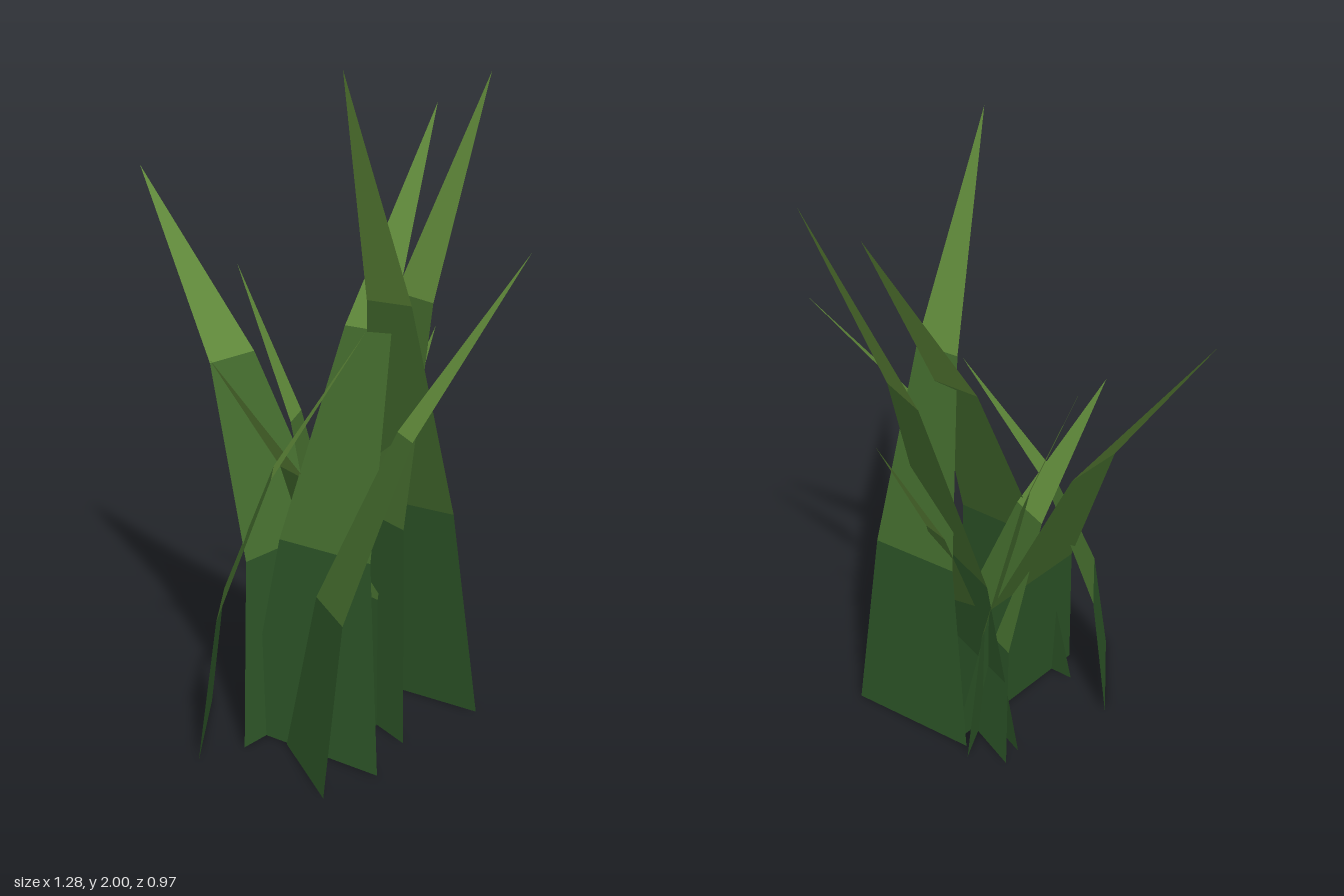
import * as THREE from 'three';

// One entry per blade: root centre (x, z), tip (x, y, z), half width at the root
const BLADES = [
  { root: [0.06, 0.06], tip: [-0.64, 1.65, -0.045], half: 0.29 },
  { root: [0.09, -0.08], tip: [-0.22, 1.4, 0.026], half: 0.19 },
  { root: [0.1, -0.13], tip: [-0.1, 1.19, 0.33], half: 0.21 },
  { root: [0.19, 0.257], tip: [0.21, 1.86, -0.41], half: 0.24 },
  { root: [0.28, -0.225], tip: [0.286, 2.0, 0.25], half: 0.22 },
  { root: [0.155, -0.04], tip: [0.345, 1.95, -0.49], half: 0.27 },
  { root: [0.238, 0.356], tip: [0.64, 1.49, -0.18], half: 0.157 },
  { root: [-0.144, 0.328], tip: [0.265, 1.265, 0.087], half: 0.181 },
  { root: [0.15, -0.02], tip: [0.25, 1.19, -0.36], half: 0.14 },
];

// Dark at the root, light at the tip
const PARTS = [
  { name: 'lowerBlade', color: 0x2b5226 },
  { name: 'middleBlade', color: 0x42692c },
  { name: 'bladeTip', color: 0x608a3a },
];

// Left and right edge points at t: straight taper, lean growing with t squared
function edgePoints({ root, tip, half }, t) {
  const dx = tip[0] - root[0], dz = tip[2] - root[1];
  const length = Math.hypot(dx, dz);
  const w = half * (1 - t);
  const centre = new THREE.Vector3(root[0] + dx * t * t, tip[1] * t, root[1] + dz * t * t);
  const side = new THREE.Vector3(-dz / length, 0, dx / length).multiplyScalar(w);
  return [centre.clone().sub(side), centre.clone().add(side)];
}

function segmentGeometry(blade, t0, t1) {
  const [a, b] = edgePoints(blade, t0);
  const [c, d] = edgePoints(blade, t1);
  const points = t1 < 1 ? [a, b, d, a, d, c] : [a, b, c];
  const geometry = new THREE.BufferGeometry().setFromPoints(points);
  geometry.computeVertexNormals();
  return geometry;
}

export function createModel() {
  const model = new THREE.Group();
  model.name = 'grassTuft';
  const materials = PARTS.map(({ color }) =>
    new THREE.MeshStandardMaterial({ color, flatShading: true, side: THREE.DoubleSide }));

  BLADES.forEach((blade, i) => {
    const group = new THREE.Group();
    group.name = `grassBlade${i + 1}`;
    PARTS.forEach((part, k) => {
      const mesh = new THREE.Mesh(segmentGeometry(blade, k / 3, (k + 1) / 3), materials[k]);
      mesh.name = part.name;
      group.add(mesh);
    });
    model.add(group);
  });
  return model;
}
